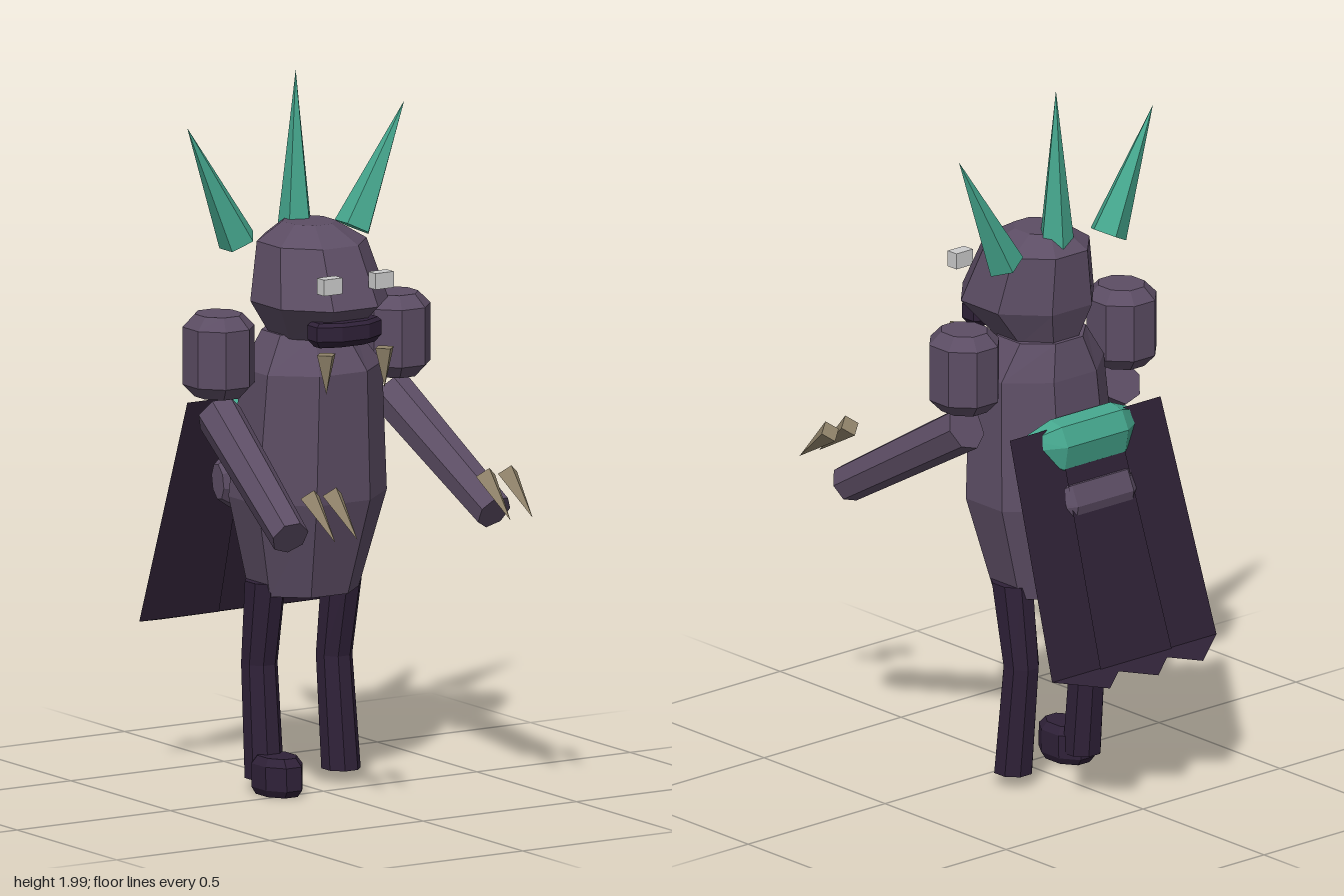
import * as THREE from 'three';

const mat = (name, color) => Object.assign(new THREE.MeshStandardMaterial({ color }), { name });

// Faceted normals for the low-poly look
function faceted(geo) {
  const g = geo.index ? geo.toNonIndexed() : geo;
  g.computeVertexNormals();
  return g;
}

// Capped loft through flat-fronted polygon rings: [y, rx, rz, cz, cx], radii measured to the flats
function loft(rings, n = 8) {
  const pos = [], index = [], k = 1 / Math.cos(Math.PI / n);
  for (const [y, rx, rz, cz = 0, cx = 0] of rings) {
    for (let j = 0; j < n; j++) {
      const t = ((j + 0.5) / n) * Math.PI * 2;
      pos.push(cx + Math.sin(t) * rx * k, y, cz + Math.cos(t) * rz * k);
    }
  }
  const last = (rings.length - 1) * n;
  for (let j = 0; j < n; j++) {
    const j2 = (j + 1) % n;
    for (let i = 0; i < last; i += n) {
      index.push(i + j, i + j2, i + n + j2, i + j, i + n + j2, i + n + j);
    }
    if (j > 0 && j < n - 1) {
      index.push(last, last + j, last + j + 1, 0, j + 1, j);
    }
  }
  const g = new THREE.BufferGeometry();
  g.setAttribute('position', new THREE.Float32BufferAttribute(pos, 3));
  g.setIndex(index);
  return faceted(g);
}

// Tapered prism from point a (radius ra) to point b (radius rb)
function limb(a, b, ra, rb, sides, turn = 0) {
  const A = new THREE.Vector3(...a), B = new THREE.Vector3(...b), d = B.clone().sub(A);
  const g = rb > 0
    ? new THREE.CylinderGeometry(rb, ra, d.length(), sides)
    : new THREE.ConeGeometry(ra, d.length(), sides);
  g.rotateY(turn);
  g.applyQuaternion(new THREE.Quaternion().setFromUnitVectors(new THREE.Vector3(0, 1, 0), d.normalize()));
  const c = A.add(B).multiplyScalar(0.5);
  g.translate(c.x, c.y, c.z);
  return faceted(g);
}

export function createModel() {
  const root = new THREE.Group();
  const hide = mat('purple hide', 0x5c4d64);
  const dark = mat('dark purple', 0x2f2138);
  const teal = mat('teal', 0x45a68d);
  const bone = mat('bone', 0x8f8269);
  const pale = mat('pale eye', 0xcccccc);
  const cloth = mat('cape cloth', 0x2e2135);
  cloth.side = THREE.DoubleSide;
  const add = (name, geo, material) => {
    const m = new THREE.Mesh(geo, material);
    m.name = name;
    root.add(m);
    return m;
  };

  // Torso, head and jaw
  add('torso', loft([
    [0.55, 0.145, 0.13, -0.1], [0.82, 0.21, 0.18, -0.08],
    [1.18, 0.187, 0.16, -0.06], [1.28, 0.12, 0.115, -0.08],
  ]), hide);
  add('head', loft([
    [1.27, 0.105, 0.12, -0.06], [1.37, 0.175, 0.185, -0.022],
    [1.53, 0.14, 0.145, -0.06], [1.58, 0.066, 0.075, -0.075],
  ]), hide);
  add('jaw', loft([
    [1.265, 0.09, 0.035, 0.105], [1.285, 0.105, 0.058, 0.105],
    [1.325, 0.105, 0.058, 0.105], [1.335, 0.095, 0.05, 0.105],
  ]), dark);

  // Horns
  add('centreHorn', limb([0, 1.51, -0.14], [0, 1.99, -0.14], 0.055, 0, 5, Math.PI / 2), teal);

  for (const s of [-1, 1]) {
    const side = s > 0 ? 'left' : 'right';
    add(side + 'Horn', limb([s * 0.188, 1.53, -0.14], [s * 0.354, 1.865, -0.14], 0.055, 0, 5, Math.PI / 2), teal);

    // Face details
    const eye = new THREE.BoxGeometry(0.06, 0.045, 0.036);
    eye.translate(s * 0.084, 1.445, 0.16);
    add(side + 'Eye', eye, pale);
    add(side + 'Fang', limb([s * 0.095, 1.255, 0.16], [s * 0.095, 1.143, 0.16], 0.03, 0, 4), bone);

    // Shoulder, arm and claws
    add(side + 'Shoulder', loft([
      [1.12, 0.06, 0.065], [1.155, 0.092, 0.096], [1.315, 0.092, 0.096], [1.35, 0.06, 0.065],
    ].map(([y, rx, rz]) => [y, rx, rz, -0.086, s * 0.287])), hide);
    add(side + 'Arm', limb([s * 0.283, 1.065, -0.09], [s * 0.333, 0.8, 0.345], 0.064, 0.054, 7), hide);
    for (const x of [0.25, 0.322]) {
      add(side + 'Claw', limb([s * x, 0.925, 0.428], [s * x, 0.82, 0.555], 0.031, 0, 4), bone);
    }

    // Leg bent at the knee
    add(side + 'Leg', loft([
      [0.035, 0.05, 0.053, -0.105, s * 0.125],
      [0.35, 0.046, 0.05, -0.135, s * 0.122],
      [0.585, 0.05, 0.063, -0.1, s * 0.125],
    ], 8), dark);
  }

  // Single foot on the model's right leg
  add('rightFoot', loft([
    [0, 0.05, 0.072], [0.02, 0.06, 0.088], [0.085, 0.06, 0.085], [0.107, 0.046, 0.065],
  ].map(([y, rx, rz]) => [y, rx, rz, -0.043, -0.124])), dark);

  // Faceted bolsters across the back
  const bolster = (name, y, z, half, h, material) => {
    const g = loft([
      [-half, h * 0.55, 0.028, 0.02], [-half * 0.58, h, 0.06],
      [half * 0.58, h, 0.06], [half, h * 0.55, 0.028, 0.02],
    ]);
    g.rotateZ(-Math.PI / 2);
    g.rotateX(-0.18);
    g.translate(0, y, z);
    add(name, g, material);
  };
  bolster('upperBolster', 1.003, -0.25, 0.19, 0.08, teal);
  bolster('lowerBolster', 0.835, -0.282, 0.175, 0.086, hide);

  // Cape of three pointed panels
  const panel = (name, x, dz) => {
    const g = new THREE.BufferGeometry();
    g.setAttribute('position', new THREE.Float32BufferAttribute([
      x - 0.105, 1.07, -0.265 + dz, x + 0.105, 1.07, -0.265 + dz,
      x + 0.13, 0.428, -0.468 + dz, x, 0.405, -0.56 + dz, x - 0.13, 0.428, -0.468 + dz,
    ], 3));
    g.setIndex([0, 1, 2, 0, 2, 4, 4, 2, 3]);
    add(name, faceted(g), cloth);
  };
  panel('capeRight', -0.17, 0.004);
  panel('capeLeft', 0.17, 0.004);
  panel('capeCentre', 0, -0.003);

  return root;
}
